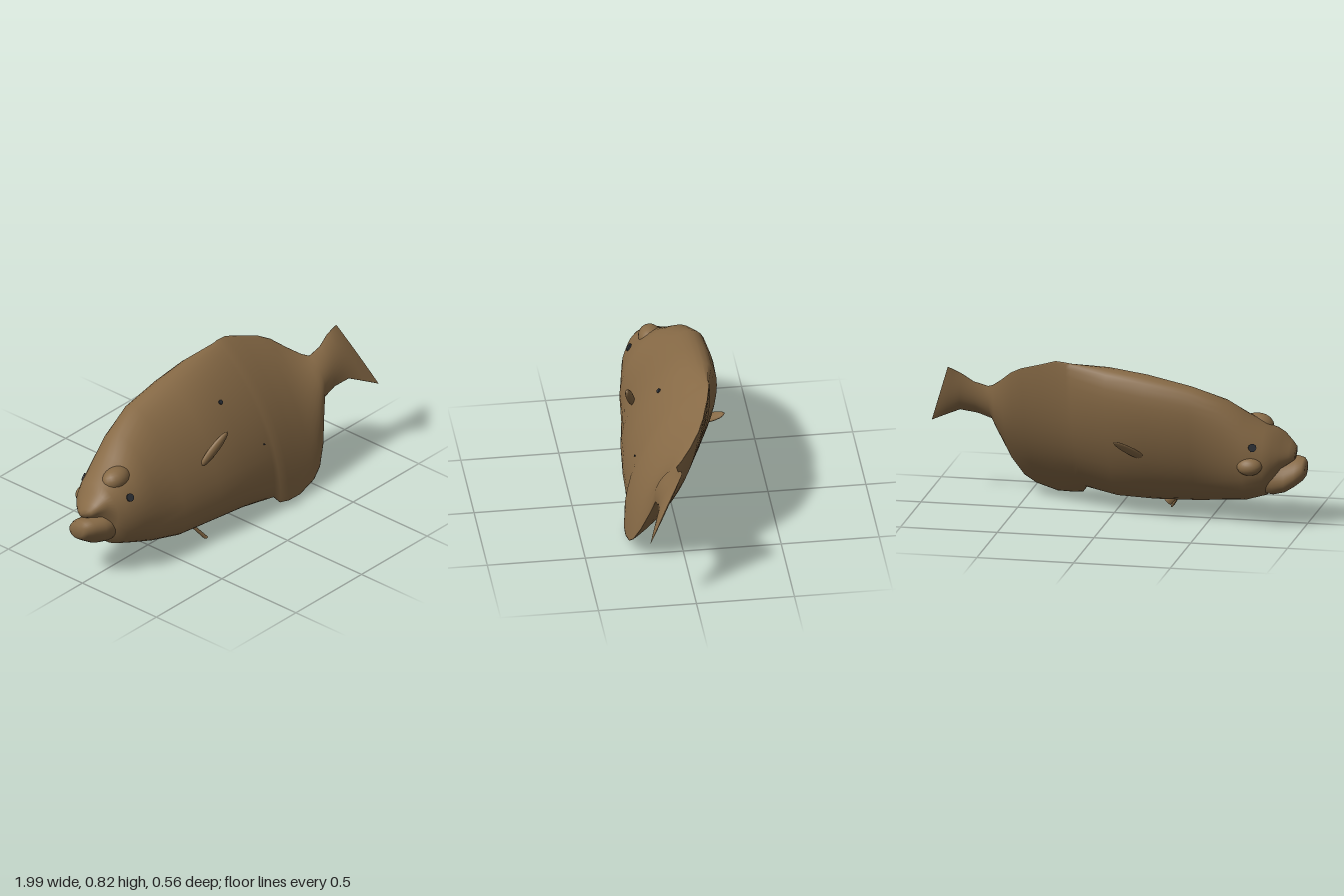
import * as THREE from 'three';

const ROLL = 0.497; // the whole fish leans onto one side
const C = Math.cos(ROLL), S = Math.sin(ROLL);
const SIDES = 36;
const { clamp, lerp, smoothstep } = THREE.MathUtils;

// Station rows: [x, centre y, centre z, half height, half width]
const BODY = [
  [-0.945, 0.39, -0.03, 0.022, 0.045], [-0.92, 0.395, -0.035, 0.042, 0.075],
  [-0.88, 0.402, -0.04, 0.07, 0.115], [-0.845, 0.378, -0.035, 0.135, 0.143],
  [-0.8, 0.353, -0.03, 0.19, 0.161], [-0.7, 0.371, -0.03, 0.243, 0.168],
  [-0.6, 0.397, -0.025, 0.298, 0.163], [-0.43, 0.417, -0.025, 0.358, 0.15],
  [-0.2, 0.437, -0.012, 0.388, 0.17], [0, 0.45, 0.003, 0.408, 0.162],
  [0.19, 0.455, 0.035, 0.426, 0.138], [0.215, 0.44, 0.045, 0.448, 0.136],
  [0.27, 0.438, 0.055, 0.454, 0.128], [0.35, 0.425, 0.066, 0.438, 0.11],
  [0.46, 0.425, 0.082, 0.397, 0.086], [0.52, 0.43, 0.09, 0.353, 0.075],
  [0.58, 0.45, 0.1, 0.268, 0.064], [0.635, 0.495, 0.106, 0.166, 0.052],
  [0.665, 0.528, 0.11, 0.113, 0.045], [0.74, 0.551, 0.11, 0.109, 0.034],
  [0.82, 0.577, 0.113, 0.128, 0.024], [0.88, 0.565, 0.13, 0.16, 0.014],
  [0.933, 0.551, 0.145, 0.188, 0.004],
];
const JAW = [
  [-1, 0.31, -0.035, 0.033, 0.045], [-0.985, 0.308, -0.035, 0.05, 0.07],
  [-0.95, 0.297, -0.035, 0.062, 0.095], [-0.9, 0.279, -0.03, 0.075, 0.114],
  [-0.84, 0.275, -0.03, 0.088, 0.118], [-0.77, 0.29, -0.03, 0.1, 0.105],
];

// Point in the leaning frame: u towards the back, v towards the +z flank
const lean = (x, yc, zc, u, v) => new THREE.Vector3(x, yc + u * C + v * S, zc - u * S + v * C);

// Cross-section: rounded in front, thin-rimmed lens at the rear, the -z side fuller low down
function sectionPoint([x, yc, zc, h, w], t) {
  const power = 1 + clamp(x * 3.5, 0, 1);
  const c = Math.cos(t), s = Math.sin(t), u = h * s;
  const fullness = smoothstep(x, -0.9, -0.65) * (1 - smoothstep(x, 0.05, 0.4));
  const flat = 0.12 * smoothstep(x, -0.1, 0.25);
  const side = c < 0 ? -1 - fullness * (0.17 - 0.2 * s) : 1 - flat;
  const skew = -0.32 * clamp((x - 0.76) / 0.17, 0, 1); // slanted tail edge
  return lean(x + skew * u, yc, zc, u, w * side * Math.pow(Math.abs(c), power));
}

function loft(rows) {
  const pos = [], index = [], n = SIDES, last = rows.length - 1;
  rows.forEach((row) => {
    for (let j = 0; j < n; j++) pos.push(...sectionPoint(row, (j / n) * Math.PI * 2).toArray());
  });
  pos.push(...rows[0].slice(0, 3), ...rows[last].slice(0, 3));
  const start = rows.length * n, end = start + 1;
  for (let j = 0; j < n; j++) {
    const k = (j + 1) % n;
    for (let i = 0; i < last; i++) {
      const a = i * n + j, b = a + n, c = (i + 1) * n + k, d = i * n + k;
      index.push(a, b, c, a, c, d);
    }
    index.push(start, j, k, end, last * n + k, last * n + j);
  }
  const g = new THREE.BufferGeometry();
  g.setAttribute('position', new THREE.Float32BufferAttribute(pos, 3));
  g.setIndex(index);
  g.computeVertexNormals();
  return g;
}

// Body station interpolated at any x
function bodyRow(x) {
  const i = BODY.findIndex((r) => r[0] > x), a = BODY[i - 1], b = BODY[i];
  const f = (x - a[0]) / (b[0] - a[0]);
  return a.map((value, k) => lerp(value, b[k], f));
}

export function createModel() {
  const model = new THREE.Group();
  const skin = new THREE.MeshStandardMaterial({ color: 0x876a46 });
  skin.name = 'brown skin';
  const dark = new THREE.MeshStandardMaterial({ color: 0x2c3036 });
  dark.name = 'dark spots';
  const up = new THREE.Vector3(0, 1, 0);

  const add = (name, geometry, material = skin) => {
    const mesh = new THREE.Mesh(geometry, material);
    mesh.name = name;
    model.add(mesh);
    return mesh;
  };

  add('bodyAndTail', loft(BODY));
  add('lowerJaw', loft(JAW));

  // Flattened leaf stretched between two points
  const leaf = (name, from, to, width, thick, facing) => {
    const a = new THREE.Vector3(...from), b = new THREE.Vector3(...to);
    const along = b.clone().sub(a), length = along.length();
    along.normalize();
    const across = new THREE.Vector3(...facing).cross(along).normalize();
    const normal = along.clone().cross(across);
    const g = new THREE.SphereGeometry(1, 14, 10).scale(length / 2, width / 2, thick / 2);
    g.applyMatrix4(new THREE.Matrix4().makeBasis(along, across, normal));
    const mid = a.add(b).multiplyScalar(0.5);
    add(name, g.translate(mid.x, mid.y, mid.z));
  };
  leaf('leftFlankFin', [-0.27, 0.43, 0.15], [-0.125, 0.597, 0.205], 0.055, 0.036, [0, 0.2, 1]);
  leaf('rightFlankFin', [-0.2, 0.345, -0.16], [-0.055, 0.463, -0.285], 0.06, 0.024, [0, -0.7, -0.7]);

  // Small tapered belly fins
  const bellyFin = (name, base, tip) => {
    const a = new THREE.Vector3(...base), b = new THREE.Vector3(...tip);
    const dir = b.clone().sub(a);
    const g = new THREE.CylinderGeometry(0.022, 0.018, dir.length(), 8).scale(1, 1, 0.35);
    g.applyQuaternion(new THREE.Quaternion().setFromUnitVectors(up, dir.normalize()));
    const mid = a.add(b).multiplyScalar(0.5);
    add(name, g.translate(mid.x, mid.y, mid.z));
  };
  bellyFin('leftBellyFin', [-0.32, 0.11, 0.12], [-0.265, 0.026, 0.183]);
  bellyFin('rightBellyFin', [-0.31, 0.12, 0.09], [-0.255, 0.062, 0.09]);

  // Thin dark disc on the body at section angle t
  const spot = (name, x, t, radius) => {
    const p = sectionPoint(bodyRow(x), t);
    const du = sectionPoint(bodyRow(x), t + 0.05).sub(p);
    const dx = sectionPoint(bodyRow(x + 0.02), t).sub(p);
    const normal = dx.cross(du).normalize();
    const g = new THREE.CylinderGeometry(radius, radius, 0.008, 10);
    g.applyQuaternion(new THREE.Quaternion().setFromUnitVectors(up, normal));
    p.addScaledVector(normal, 0.003);
    add(name, g.translate(p.x, p.y, p.z), dark);
  };
  spot('flankSpot', -0.01, 0.4, 0.012);
  spot('smallFlankSpot', 0.16, -0.33, 0.004);
  spot('leftEye', -0.757, 0.08, 0.021);
  spot('rightEye', -0.755, Math.PI - 0.85, 0.021);

  // Brow above the left eye, ledge below the right eye
  const ridge = (name, size, u, v) => {
    const mesh = add(name, new THREE.SphereGeometry(1, 20, 14));
    mesh.scale.set(...size);
    mesh.position.copy(lean(-0.74, 0.36, -0.03, u, v));
    mesh.rotation.x = -ROLL;
  };
  ridge('leftBrow', [0.085, 0.06, 0.065], 0.125, 0.1);
  ridge('rightEyeLedge', [0.065, 0.045, 0.05], 0.075, -0.155);
  return model;
}
